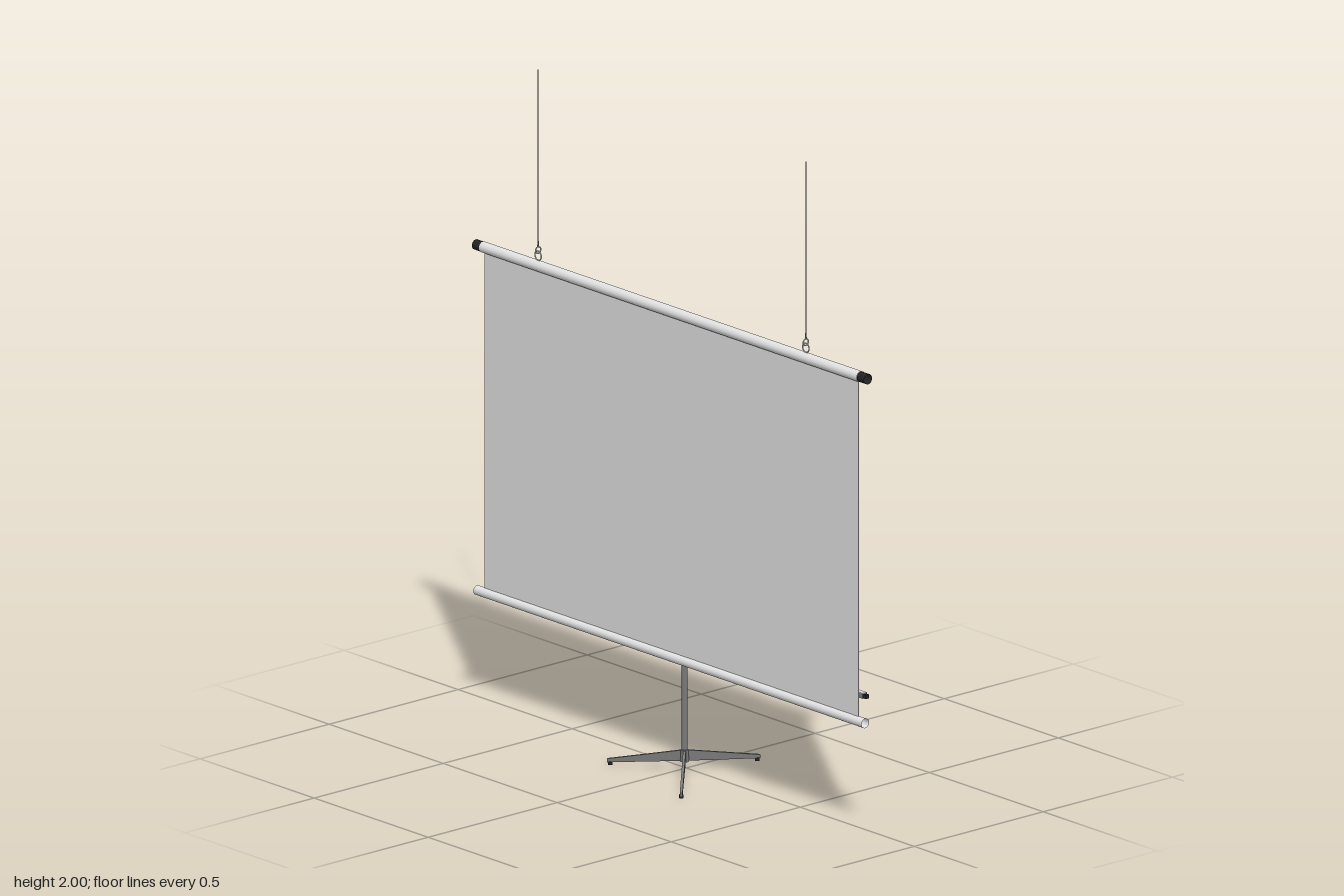
import * as THREE from 'three';

const mat = (name, color, side = THREE.FrontSide) => {
  const m = new THREE.MeshStandardMaterial({ color, side });
  m.name = name;
  return m;
};

export function createModel() {
  const fabric = mat('screen white', 0xdedede);
  const metal = mat('light metal', 0xe2e2e2, THREE.DoubleSide);
  const steel = mat('grey steel', 0x7a7a7a);
  const black = mat('black plastic', 0x222222, THREE.DoubleSide);

  const model = new THREE.Group();
  model.name = 'projectionScreen';
  const add = (name, geometry, material, x, y, z, parent = model) => {
    const mesh = new THREE.Mesh(geometry, material);
    mesh.name = name;
    mesh.position.set(x, y, z);
    parent.add(mesh);
    return mesh;
  };
  // horizontal open tube between two x positions
  const tube = (name, x0, x1, y, z, r, material) => add(name,
    new THREE.CylinderGeometry(r, r, x1 - x0, 20, 1, true).rotateZ(Math.PI / 2),
    material, (x0 + x1) / 2, y, z);

  const Z = 0.055;

  // hanging sheet with its upper and lower tubes
  add('screenSheet', new THREE.BoxGeometry(1.64, 1.05, 0.002), fabric, -0.002, 0.872, Z);
  tube('topTube', -0.828, 0.828, 1.402, Z, 0.0165, metal);
  tube('bottomTube', -0.855, 0.848, 0.35, Z, 0.0145, metal);
  tube('topEndCap', -0.86, -0.828, 1.402, Z, 0.0155, black);
  tube('topEndCap', 0.828, 0.86, 1.402, Z, 0.0155, black);

  // eyelets, hooks and suspension wires
  for (const s of [-1, 1]) {
    const hanger = new THREE.Group();
    hanger.name = 'hanger';
    hanger.position.set(s * 0.587, 0, Z);
    model.add(hanger);
    add('eyelet', new THREE.TorusGeometry(0.014, 0.002, 8, 24), metal, 0, 1.433, 0, hanger);
    add('hookLoop', new THREE.TorusGeometry(0.01, 0.002, 8, 20).rotateY(Math.PI / 2),
      metal, 0, 1.45, 0, hanger);
    add('hookStem', new THREE.CylinderGeometry(0.002, 0.003, 0.018, 8), steel, 0, 1.468, 0, hanger);
    add('wire', new THREE.CylinderGeometry(0.0013, 0.0013, 0.524, 6), steel, 0, 1.738, 0, hanger);
  }

  // rear support rail with a light top strip and small end plugs
  add('supportRail', new THREE.BoxGeometry(1.636, 0.015, 0.016), steel, -0.002, 0.421, 0.029);
  add('railTopStrip', new THREE.BoxGeometry(1.636, 0.002, 0.016), metal, -0.002, 0.4295, 0.029);
  for (const x of [-0.826, 0.822]) {
    add('railEndPlug', new THREE.BoxGeometry(0.012, 0.012, 0.012), black, x, 0.421, 0.029);
  }

  // stand pole, clamp and hub
  const hubX = 0.028, hubZ = 0.031;
  add('standPole', new THREE.CylinderGeometry(0.0085, 0.0085, 0.37, 16), steel, hubX, 0.238, hubZ);
  add('poleClamp', new THREE.BoxGeometry(0.022, 0.02, 0.02), steel, hubX, 0.418, hubZ);
  add('standHub', new THREE.CylinderGeometry(0.011, 0.013, 0.036, 16), steel, hubX, 0.052, hubZ);

  // three tapered legs spreading from the hub to these floor points
  for (const [x, z] of [[-0.178, 0.147], [0.21, 0.205], [0.085, -0.21]]) {
    const dx = x - hubX, dz = z - hubZ, length = Math.hypot(dx, dz);
    const leg = new THREE.Group();
    leg.name = 'standLeg';
    leg.position.set(hubX, 0, hubZ);
    leg.rotation.y = Math.atan2(-dz, dx);
    model.add(leg);
    const profile = new THREE.Shape([
      new THREE.Vector2(0.004, 0.036), new THREE.Vector2(length, 0.007),
      new THREE.Vector2(length, 0.018), new THREE.Vector2(0.004, 0.069),
    ]);
    const blade = new THREE.ExtrudeGeometry(profile, { depth: 0.008, bevelEnabled: false });
    add('legBlade', blade.translate(0, 0, -0.004), steel, 0, 0, 0, leg);
    add('foot', new THREE.CylinderGeometry(0.006, 0.007, 0.01, 12), black, length - 0.008, 0.005, 0, leg);
  }
  return model;
}
